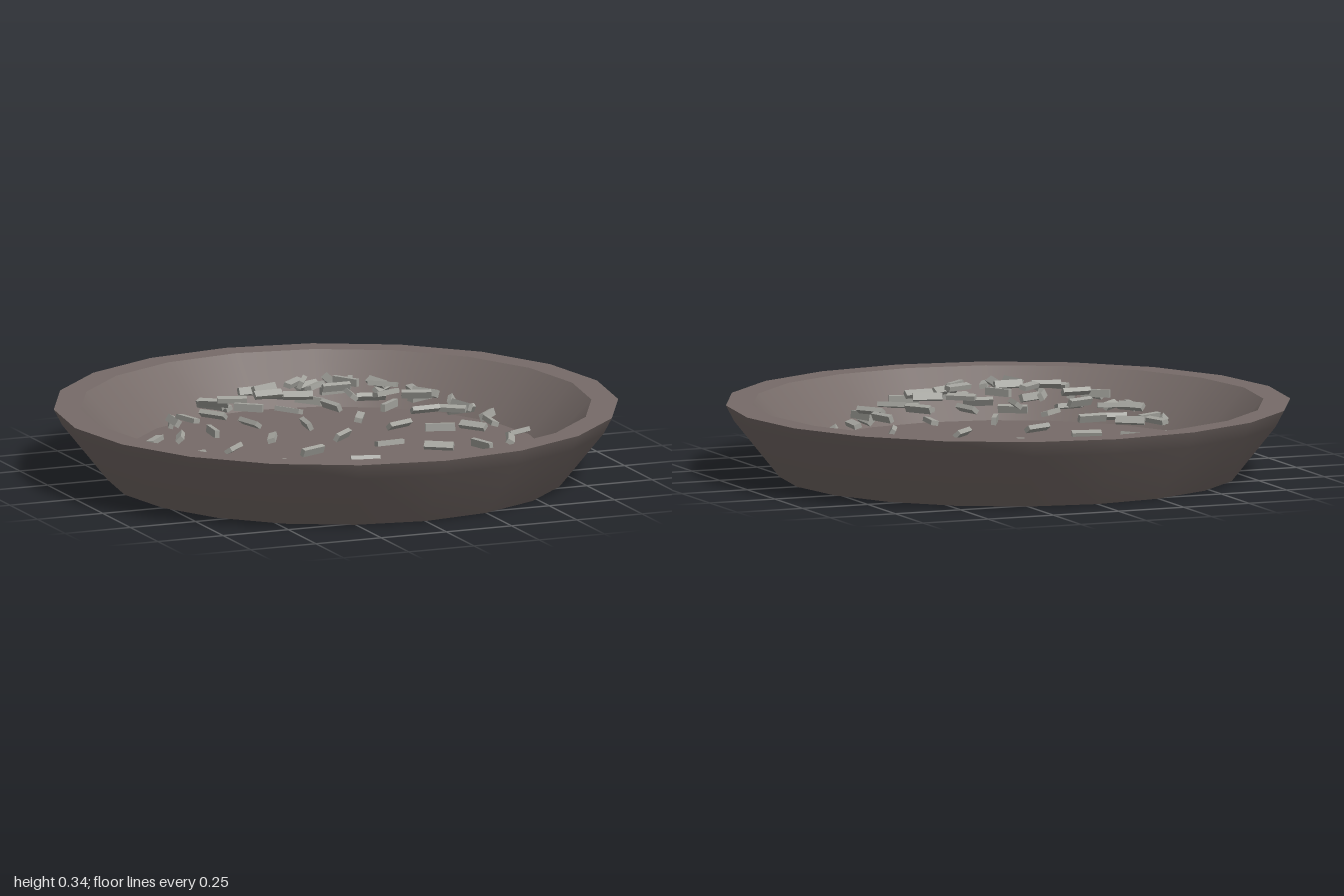
import * as THREE from 'three';

export function createModel() {
  const model = new THREE.Group();
  const clay = new THREE.MeshStandardMaterial({ color: 0x766b68 });
  clay.name = 'warm grey clay';
  const straw = new THREE.MeshStandardMaterial({ color: 0xa3a39d });
  straw.name = 'pale grey straw';

  // Bowl: separate lathed bands keep the edges between them sharp
  const bowl = new THREE.Group();
  bowl.name = 'bowl';
  const bands = {
    base: [[0, 0], [0.81, 0]],
    outerWall: [[0.81, 0], [0.97, 0.2], [1, 0.257]],
    rim: [[1, 0.257], [0.905, 0.257]],
    innerWall: [[0.905, 0.257], [0.74, 0.085]],
    floor: [[0.74, 0.085], [0, 0.085]],
  };
  for (const [name, profile] of Object.entries(bands)) {
    const points = profile.map(([r, y]) => new THREE.Vector2(r, y));
    const band = new THREE.Mesh(new THREE.LatheGeometry(points, 20), clay);
    band.name = name;
    bowl.add(band);
  }
  model.add(bowl);

  // Heap: small sticks on a sunflower spiral, domed towards the middle
  const heap = new THREE.Group();
  heap.name = 'heap';
  const stickShape = new THREE.BoxGeometry(0.105, 0.017, 0.027);
  const goldenAngle = Math.PI * (3 - Math.sqrt(5));
  for (let i = 0; i < 70; i++) {
    const r = 0.08 * Math.sqrt(i);
    const a = -i * goldenAngle;
    const stick = new THREE.Mesh(stickShape, straw);
    stick.name = 'stick';
    stick.position.set(r * Math.cos(a), 0.32 - 0.45 * r * r, r * Math.sin(a));
    stick.rotation.set(0.9 * (i - 10) + Math.PI / 2, 0.7 * i, 0, 'YXZ');
    heap.add(stick);
  }
  model.add(heap);

  return model;
}
